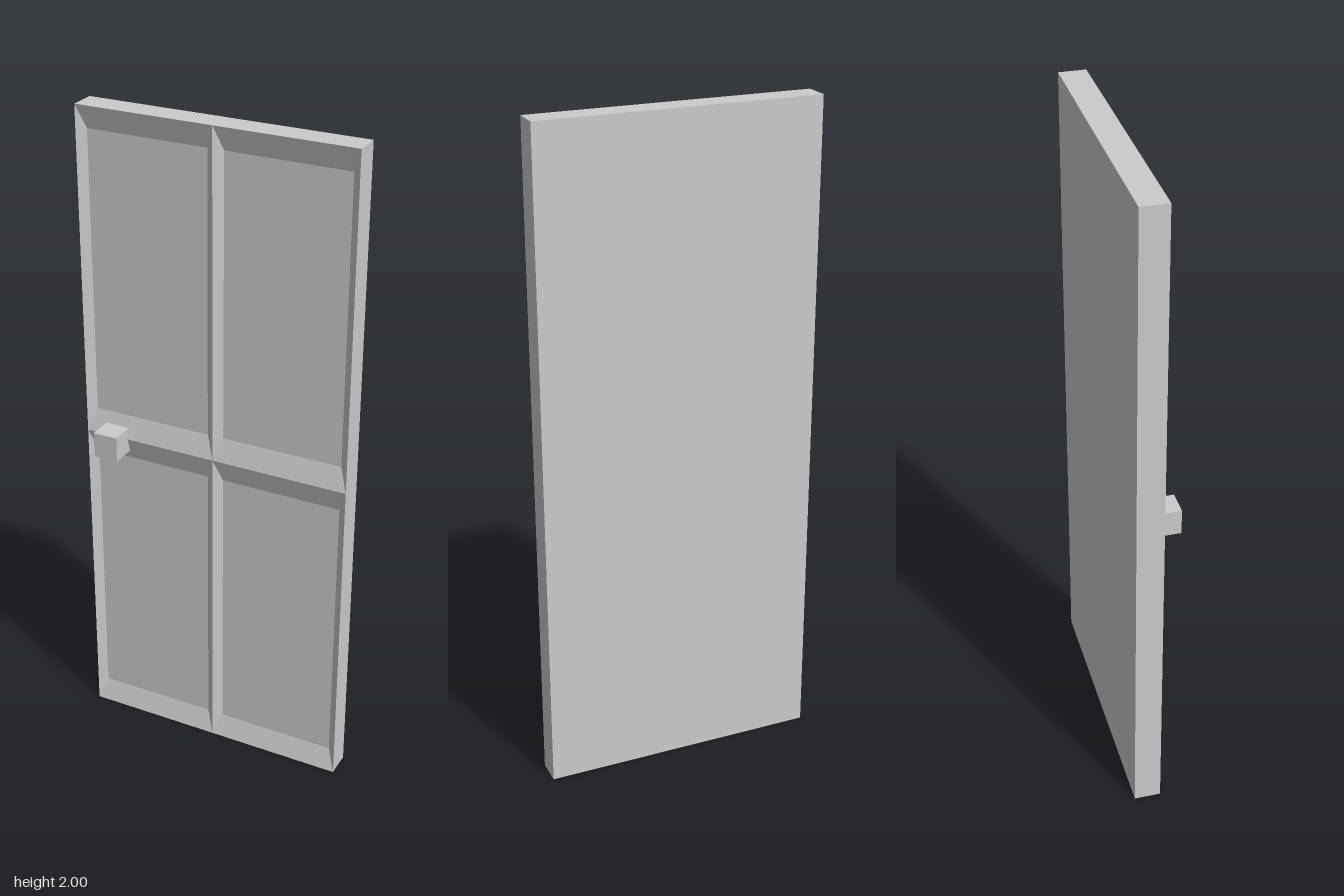
import * as THREE from 'three';

const W = 0.42, H = 2, FRONT = 0.007, BACK = -0.073;

// Flat-shaded mesh from quads, corners counter-clockwise seen from outside
function quadMesh(name, quads, material) {
  const pos = quads.flatMap(([a, b, c, d]) => [a, b, c, a, c, d]).flat();
  const g = new THREE.BufferGeometry();
  g.setAttribute('position', new THREE.Float32BufferAttribute(pos, 3));
  g.computeVertexNormals();
  const mesh = new THREE.Mesh(g, material);
  mesh.name = name;
  return mesh;
}

// Corners of an upright rectangle, counter-clockwise from the front
const rect = (x0, y0, x1, y1, z) => [[x0, y0, z], [x1, y0, z], [x1, y1, z], [x0, y1, z]];

// Quads joining two rectangles side by side
const bridge = (outer, inner) => outer.map((p, i) => {
  const j = (i + 1) % 4;
  return [p, outer[j], inner[j], inner[i]];
});

export function createModel() {
  const door = new THREE.Group();
  door.name = 'door';
  const material = new THREE.MeshStandardMaterial({ color: 0xcccccc, flatShading: true });

  // Slab: back and four edges, its front closed by the panels
  const back = rect(-W, 0, W, H, BACK);
  const front = rect(-W, 0, W, H, FRONT);
  door.add(quadMesh('slab', [[...back].reverse(), ...bridge(back, front)], material));

  // Four recessed panels with sloping borders
  const insetX = 0.025, insetY = 0.07, depth = 0.02;
  for (const x of [-W, 0]) {
    for (const y of [0, H / 2]) {
      const outer = rect(x, y, x + W, y + H / 2, FRONT);
      const inner = rect(x + insetX, y + insetY, x + W - insetX, y + H / 2 - insetY, FRONT - depth);
      door.add(quadMesh('recessedPanel', [...bridge(outer, inner), inner], material));
    }
  }

  // Square knob, its back sunk into the door
  const knob = new THREE.Mesh(new THREE.BoxGeometry(0.077, 0.077, 0.08), material);
  knob.name = 'knob';
  knob.position.set(-0.322, 0.995, 0.032);
  door.add(knob);

  return door;
}
